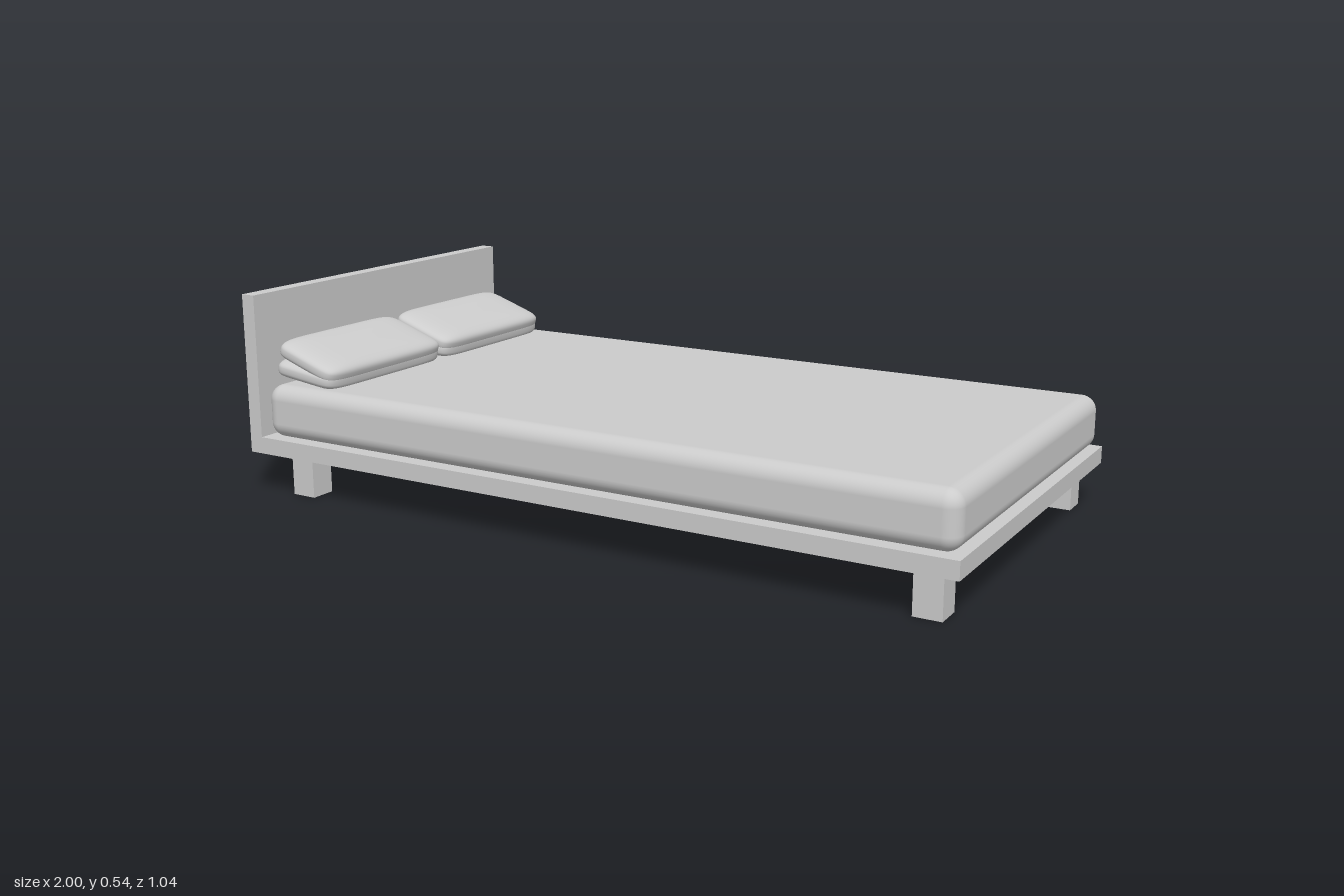
import * as THREE from 'three';
import { RoundedBoxGeometry } from 'three/addons/geometries/RoundedBoxGeometry.js';
import { mergeVertices } from 'three/addons/utils/BufferGeometryUtils.js';

const material = new THREE.MeshStandardMaterial({ color: 0xcccccc });

function addMesh(group, name, geometry, x, y, z) {
  const mesh = new THREE.Mesh(geometry, material);
  mesh.name = name;
  mesh.position.set(x, y, z);
  group.add(mesh);
  return mesh;
}

// Cushion: a sphere squared off into a soft, rounded block
function pillowGeometry(width, height, depth) {
  const soften = (v, p) => Math.sign(v) * Math.abs(v) ** p;
  const sphere = new THREE.SphereGeometry(1, 64, 32);
  sphere.deleteAttribute('uv');
  sphere.deleteAttribute('normal');
  const pos = sphere.attributes.position;
  for (let i = 0; i < pos.count; i++) {
    const x = pos.getX(i), y = pos.getY(i), z = pos.getZ(i);
    const r = Math.hypot(x, z);
    const spread = r < 1e-6 ? 0 : soften(r, 0.4) / r;
    // plan outline is squarer than the side profile
    const px = r < 1e-6 ? 0 : soften(x / r, 0.25) * spread * r;
    const pz = r < 1e-6 ? 0 : soften(z / r, 0.25) * spread * r;
    pos.setXYZ(i, px * width / 2, soften(y, 0.65) * height / 2, pz * depth / 2);
  }
  const geometry = mergeVertices(sphere, 1e-5);
  geometry.computeVertexNormals();
  return geometry;
}

export function createModel() {
  const bed = new THREE.Group();
  bed.name = 'bed';

  // Frame
  addMesh(bed, 'bedBase', new THREE.BoxGeometry(1.96, 0.045, 1.045), 0.02, 0.1325, 0);
  addMesh(bed, 'headboard', new THREE.BoxGeometry(0.04, 0.428, 1.045), -0.98, 0.324, 0);

  // Legs
  const leg = new THREE.BoxGeometry(0.07, 0.11, 0.07);
  for (const x of [-0.85, 0.92])
    for (const z of [-0.455, 0.455]) addMesh(bed, 'leg', leg, x, 0.055, z);

  // Mattress
  addMesh(bed, 'mattress', new RoundedBoxGeometry(1.94, 0.142, 1.025, 6, 0.04), 0.02, 0.226, 0);

  // Two stacked pillows on each side, the upper one tilted further
  const pillow = pillowGeometry(0.21, 0.06, 0.47);
  for (const z of [-0.24, 0.24]) {
    addMesh(bed, 'lowerPillow', pillow, -0.852, 0.324, z).rotation.z = -0.12;
    addMesh(bed, 'upperPillow', pillow, -0.845, 0.358, z).rotation.z = -0.33;
  }

  return bed;
}
